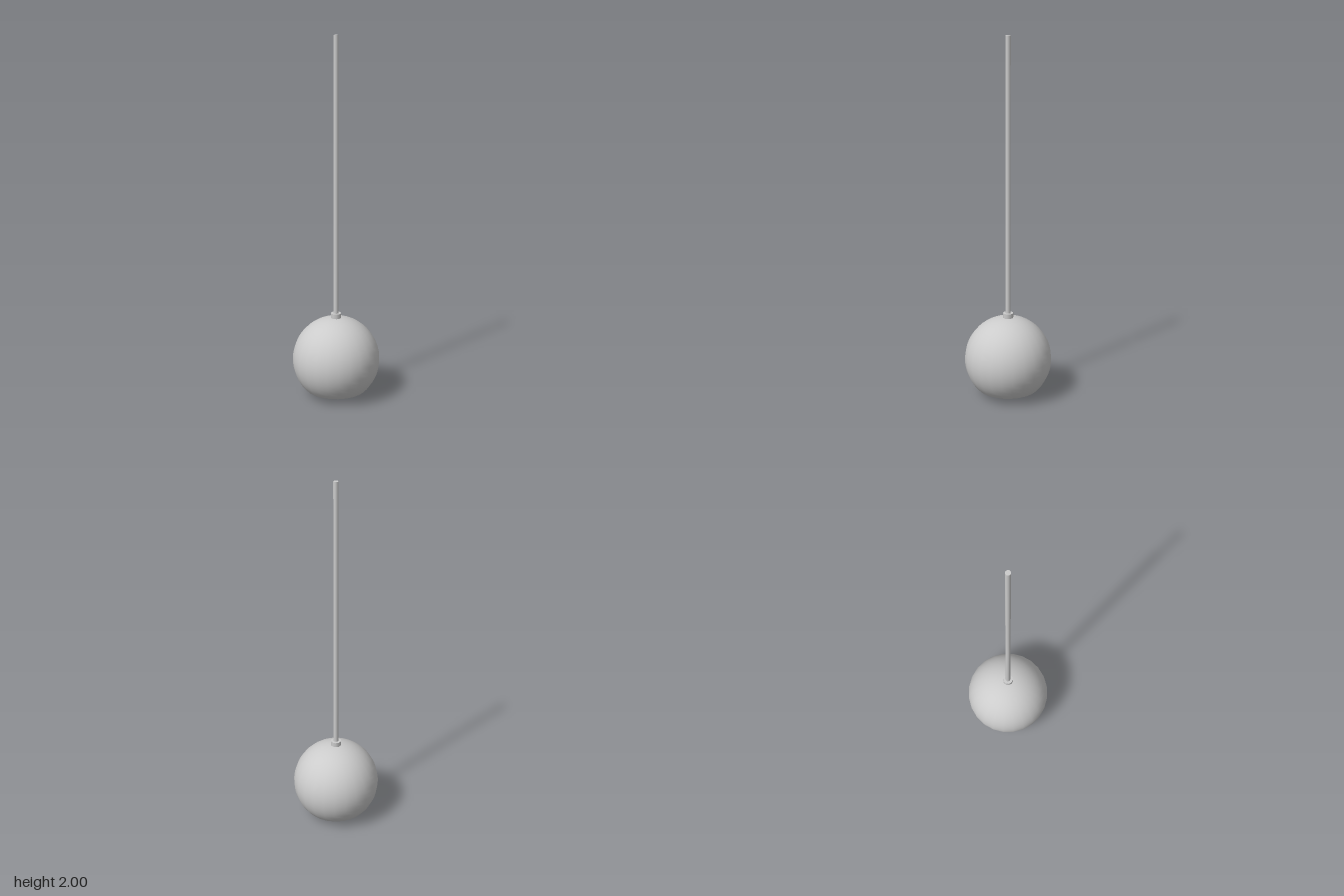
import * as THREE from 'three';

export function createModel() {
  const group = new THREE.Group();
  group.name = 'pendantLamp';
  const grey = new THREE.MeshStandardMaterial({ color: 0xcccccc });
  const greyInside = new THREE.MeshStandardMaterial({ color: 0xcccccc, side: THREE.BackSide });
  const yellow = new THREE.MeshStandardMaterial({ color: 0xaaaa60 });

  const add = (name, geometry, material, y, parent = group) => {
    const mesh = new THREE.Mesh(geometry, material);
    mesh.name = name;
    mesh.position.y = y;
    parent.add(mesh);
    return mesh;
  };

  const centerY = 0.212, outer = 0.243, inner = 0.235, rimY = 0.04, sides = 24;
  const drop = centerY - rimY;

  // Globe shade: two sphere shells cut at the same height, joined by a flat rim
  const shade = new THREE.Group();
  shade.name = 'shade';
  group.add(shade);
  const shell = (r) => new THREE.SphereGeometry(r, sides, 20, 0, Math.PI * 2, 0, Math.acos(-drop / r));
  add('shadeOuter', shell(outer), grey, centerY, shade);
  add('shadeInner', shell(inner), greyInside, centerY, shade);
  const rimRadius = (r) => Math.sqrt(r * r - drop * drop);
  const rim = new THREE.RingGeometry(rimRadius(inner), rimRadius(outer), sides).rotateX(Math.PI / 2);
  add('shadeRim', rim, grey, rimY, shade);

  // Glowing globe that peeks out below the rim
  add('bulb', new THREE.SphereGeometry(centerY, sides, 16), yellow, centerY);

  // Collar on top of the shade and the long hanging rod
  add('collar', new THREE.CylinderGeometry(0.029, 0.029, 0.04, 10), grey, 0.46);
  add('rod', new THREE.CylinderGeometry(0.014, 0.014, 1.54, 10), grey, 1.23);

  return group;
}
